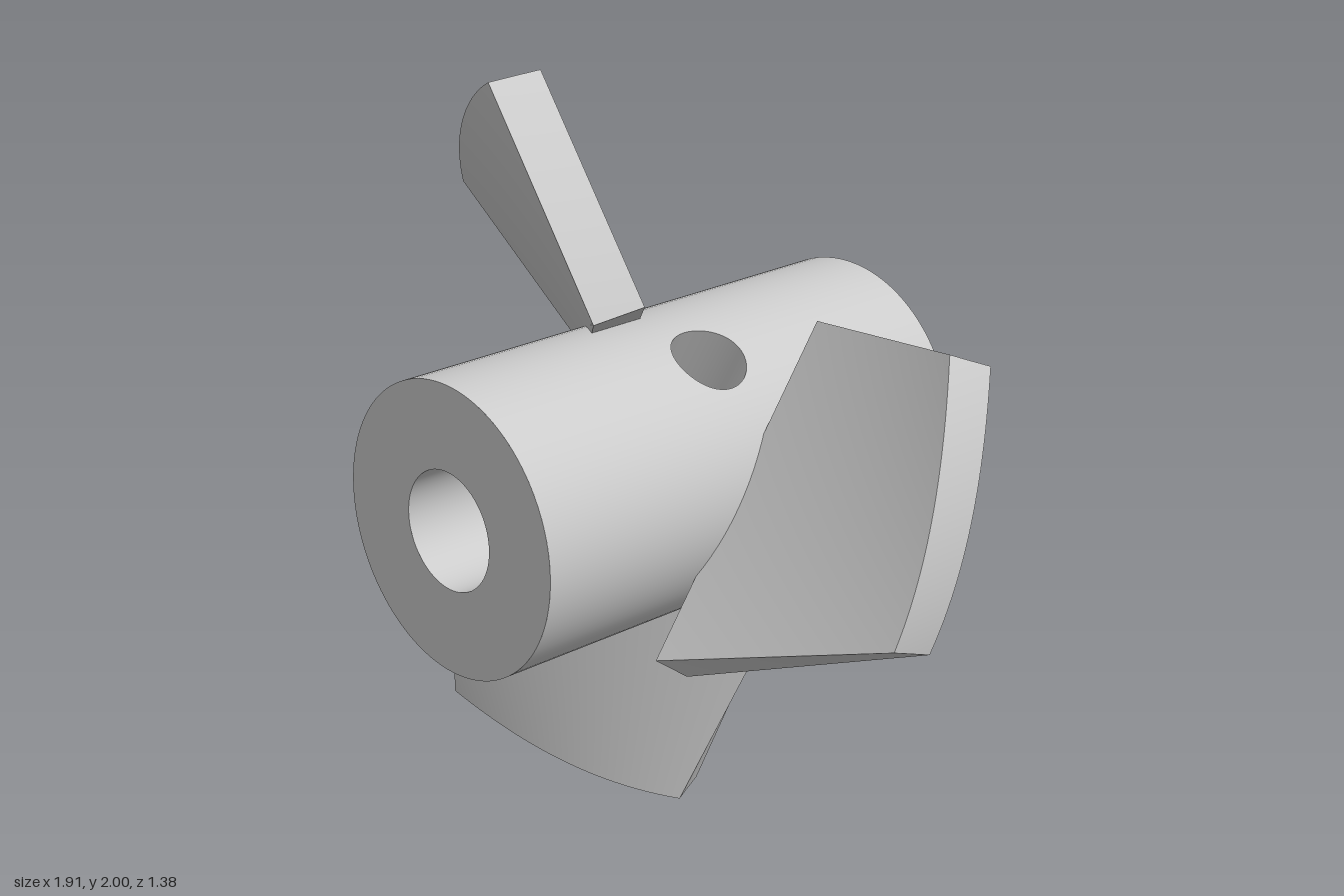
import * as THREE from 'three';
import { ParametricGeometry } from 'three/addons/geometries/ParametricGeometry.js';
import { mergeGeometries } from 'three/addons/utils/BufferGeometryUtils.js';

const HUB_R = 0.38, BORE_R = 0.155, HALF_LEN = 0.688, HOLE_R = 0.1;
const TIP_R = 1.03, ROOT_X = 0.345;
const { lerp } = THREE.MathUtils;

// Surface from a rule (u, v) -> [x, y, z]; its front is the side of du x dv
const surface = (rule, nu, nv) =>
  new ParametricGeometry((u, v, p) => p.set(...rule(u, v)), nu, nv);

// Point on the unit square's outline, counter-clockwise, v = 0..1
function squarePoint(v) {
  const k = Math.min(3, Math.floor(v * 4));
  const f = (v * 4 - k) * 2 - 1;
  return [[1, f], [-f, 1], [-1, -f], [f, -1]][k];
}

// Cylinder wall along z with a round hole facing +x
function drilledWall(r, patchHalf, inward) {
  const onWall = (y, z) => [Math.sqrt(r * r - y * y), y, z];
  const patch = (u, v) => {
    const [a, b] = squarePoint(v);
    const k = HOLE_R / Math.hypot(a, b);
    return onWall(lerp(a * k, a * patchHalf, u), lerp(b * k, b * HALF_LEN, u));
  };
  const edge = Math.asin(patchHalf / r);
  const rest = (u, v) => {
    const t = lerp(edge, 2 * Math.PI - edge, u);
    return [r * Math.cos(t), r * Math.sin(t), lerp(-HALF_LEN, HALF_LEN, v)];
  };
  const turn = (rule, nu, nv) =>
    inward ? surface((u, v) => rule(v, u), nv, nu) : surface(rule, nu, nv);
  return [turn(patch, 10, 64), turn(rest, 72, 1)];
}

function hubGeometry() {
  // Wall of the radial screw hole, from bore to outside
  const holeWall = surface((u, v) => {
    const [a, b] = squarePoint(v);
    const k = HOLE_R / Math.hypot(a, b);
    const y = a * k;
    const x = lerp(Math.sqrt(BORE_R ** 2 - y * y), Math.sqrt(HUB_R ** 2 - y * y), u);
    return [x, y, b * k];
  }, 1, 64);
  const frontCap = new THREE.RingGeometry(BORE_R, HUB_R, 96).translate(0, 0, HALF_LEN);
  const backCap = frontCap.clone().rotateY(Math.PI);
  return mergeGeometries([
    ...drilledWall(HUB_R, 0.16, false),
    ...drilledWall(BORE_R, 0.125, true),
    holeWall, frontCap, backCap,
  ]);
}

// Blade section corners [y, z] at the root plane and at x = TIP_R,
// counter-clockwise: front upper, front lower, back lower, back upper
const ROOT = [[0.41, -0.22], [-0.345, 0.325], [-0.424, 0.22], [0.33, -0.325]];
const TIP = [[0.522, -0.06], [-0.121, 0.2], [-0.169, 0.067], [0.472, -0.185]];

const inSection = (q, s, t, axis) =>
  lerp(lerp(q[0][axis], q[1][axis], s), lerp(q[3][axis], q[2][axis], s), t);

// Point in the twisted blade: s along the chord, t through the thickness,
// w from the root to the round tip
function bladePoint(s, t, w) {
  const y0 = inSection(ROOT, s, t, 0), z0 = inSection(ROOT, s, t, 1);
  const dx = TIP_R - ROOT_X;
  const dy = inSection(TIP, s, t, 0) - y0, dz = inSection(TIP, s, t, 1) - z0;
  // Where the ruling meets the tip cylinder
  const a = dx * dx + dy * dy, b = ROOT_X * dx + y0 * dy;
  const c = ROOT_X ** 2 + y0 * y0 - TIP_R ** 2;
  const k = w * (-b + Math.sqrt(b * b - a * c)) / a;
  return [ROOT_X + dx * k, y0 + dy * k, z0 + dz * k];
}

function bladeGeometry() {
  return mergeGeometries([
    surface((u, v) => bladePoint(u, 0, v), 24, 16),
    surface((u, v) => bladePoint(1, u, v), 2, 16),
    surface((u, v) => bladePoint(1 - u, 1, v), 24, 16),
    surface((u, v) => bladePoint(0, 1 - u, v), 2, 16),
    surface((u, v) => bladePoint(u, v, 1), 24, 2),
    surface((u, v) => bladePoint(v, u, 0), 2, 24),
  ]);
}

export function createModel() {
  const material = new THREE.MeshStandardMaterial({ color: 0xcccccc });
  const model = new THREE.Group();
  model.name = 'propeller';

  const rotor = new THREE.Group();
  rotor.name = 'rotor';
  rotor.position.set(-0.075, 1.032, 0);
  model.add(rotor);

  // Hub, turned so its screw hole sits between two blades
  const hub = new THREE.Mesh(hubGeometry(), material);
  hub.name = 'hub';
  hub.rotation.z = Math.PI / 3;
  rotor.add(hub);

  // Three equal blades
  const geometry = bladeGeometry();
  for (let i = 0; i < 3; i++) {
    const blade = new THREE.Mesh(geometry, material);
    blade.name = `blade${i + 1}`;
    blade.rotation.z = i * 2 * Math.PI / 3;
    rotor.add(blade);
  }
  return model;
}
